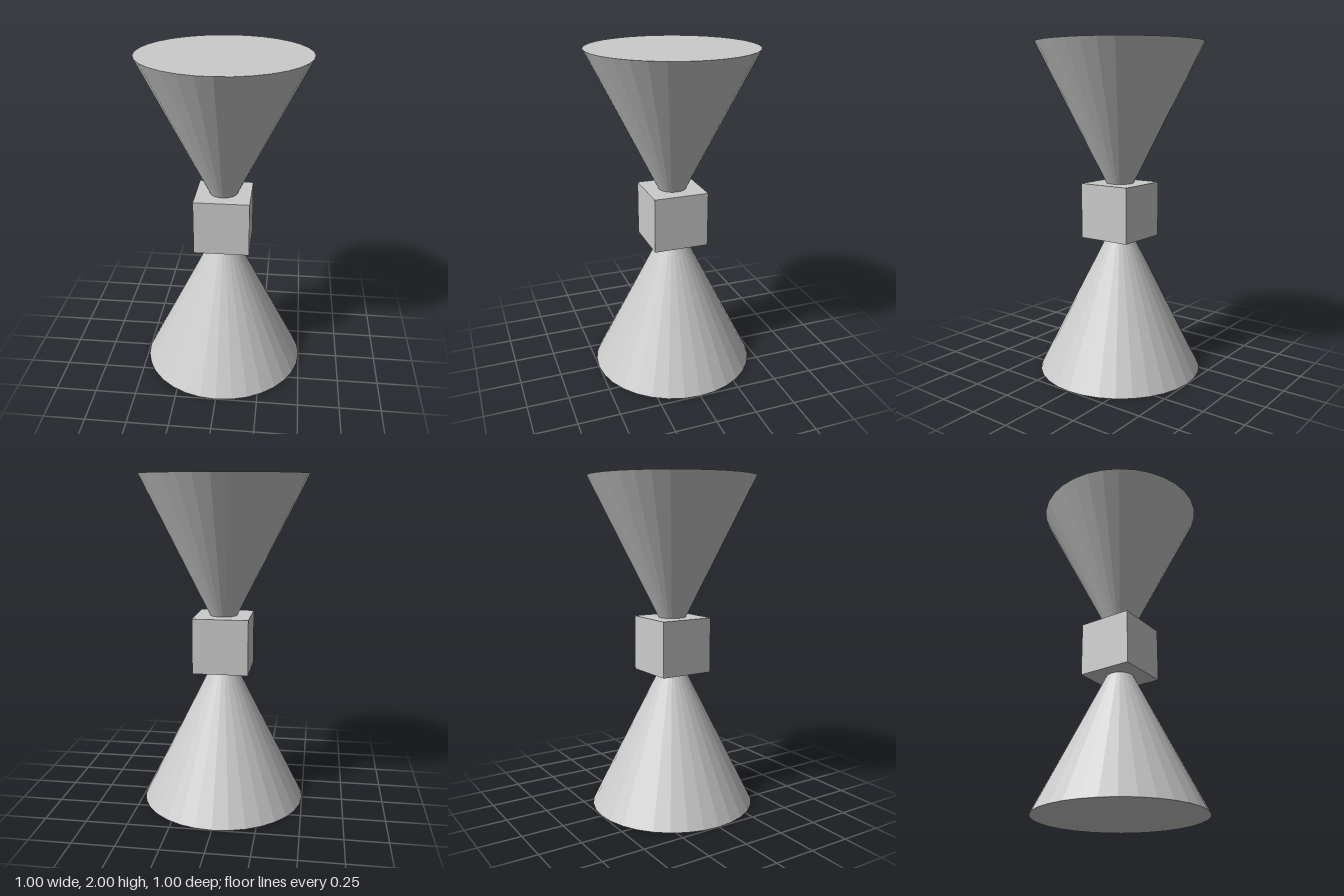
import * as THREE from 'three';

export function createModel() {
  const group = new THREE.Group();
  const material = new THREE.MeshStandardMaterial({ color: 0xcccccc, flatShading: true });

  const add = (name, geometry, y) => {
    const mesh = new THREE.Mesh(geometry, material);
    mesh.name = name;
    mesh.position.y = y;
    group.add(mesh);
    return mesh;
  };

  // Two cones meeting tip to tip at mid height
  const cone = new THREE.ConeGeometry(0.5, 1, 32);
  add('lowerCone', cone, 0.5);
  add('upperCone', cone, 1.5).rotation.x = Math.PI;

  // Cube around the meeting tips
  add('centreCube', new THREE.BoxGeometry(1 / 3, 1 / 3, 1 / 3), 1);

  return group;
}
